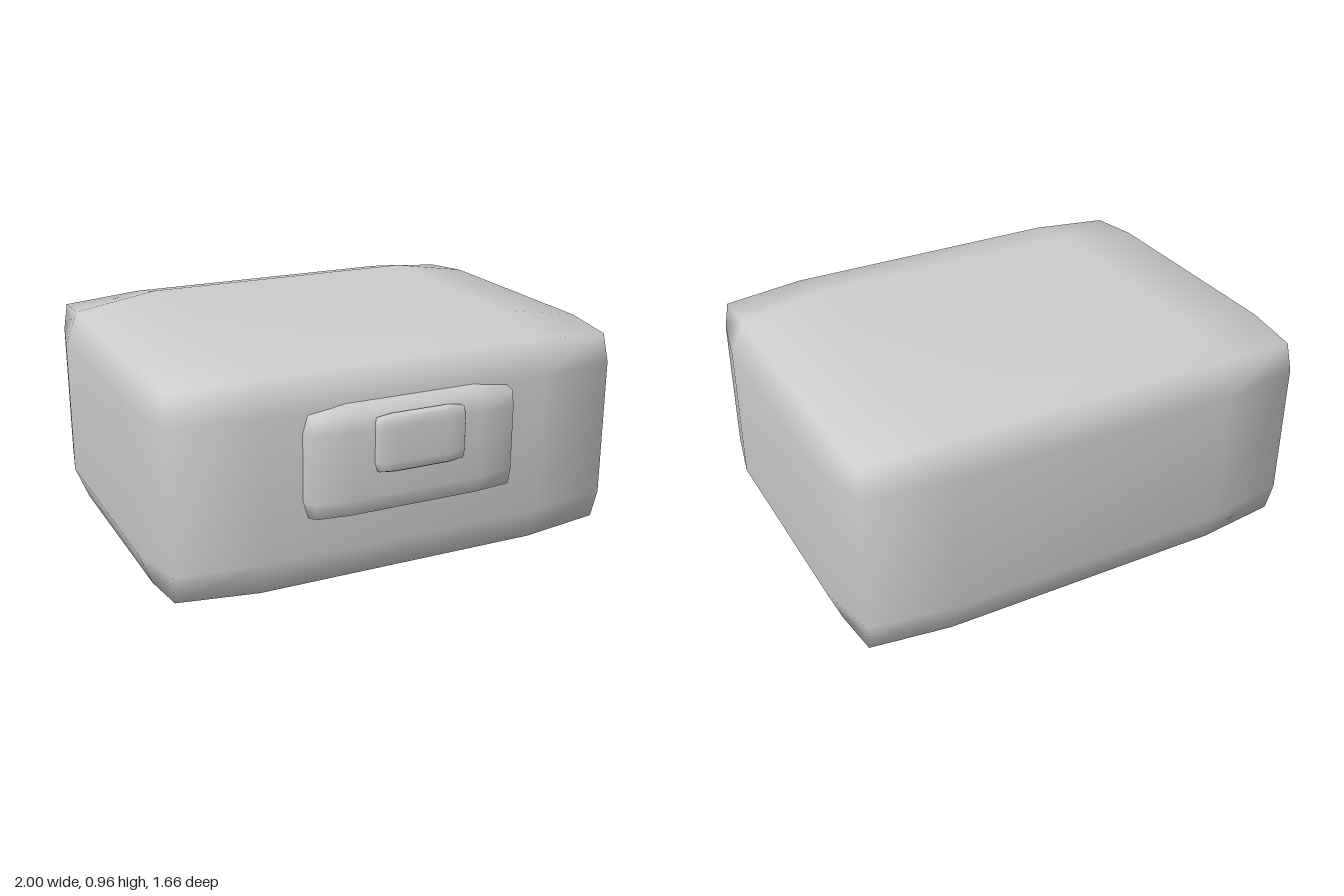
import * as THREE from 'three';
import { mergeVertices } from 'three/addons/utils/BufferGeometryUtils.js';

// Soft box: a 3x3x3 grid whose edges and corners are pulled in from the full size.
// Each axis is { at: [min, innerMin, innerMax, max], edge, corner } (edge and corner are insets).
function softBox(axes) {
  const geometry = new THREE.BoxGeometry(1, 1, 1, 3, 3, 3);
  const p = geometry.attributes.position;
  for (let i = 0; i < p.count; i++) {
    const cell = [p.getX(i), p.getY(i), p.getZ(i)].map((v) => Math.round((v + 0.5) * 3));
    const outer = cell.filter((c) => c === 0 || c === 3).length;
    const v = cell.map((c, a) => {
      const { at, edge, corner } = axes[a];
      const inset = outer === 3 ? corner : outer === 2 ? edge : 0;
      return at[c] + (c === 0 ? inset : c === 3 ? -inset : 0);
    });
    p.setXYZ(i, ...v);
  }
  geometry.deleteAttribute('uv');
  geometry.deleteAttribute('normal');
  const smooth = mergeVertices(geometry);
  smooth.clearGroups();
  smooth.computeVertexNormals();
  return smooth;
}

export function createModel() {
  const group = new THREE.Group();
  const grey = new THREE.MeshStandardMaterial({ color: 0xcccccc });
  grey.name = 'grey';

  const parts = {
    // main case
    body: [
      { at: [-1, -0.6, 0.6, 1], edge: 0.055, corner: 0.068 },
      { at: [0, 0.195, 0.77, 0.963], edge: 0.056, corner: 0.077 },
      { at: [-0.83, -0.525, 0.41, 0.717], edge: 0.053, corner: 0.075 },
    ],
    // raised plate on the front
    frontPanel: [
      { at: [-0.445, -0.27, 0.27, 0.445], edge: 0.02, corner: 0.026 },
      { at: [0.336, 0.425, 0.692, 0.781], edge: 0.021, corner: 0.028 },
      { at: [0.6, 0.665, 0.722, 0.793], edge: 0.022, corner: 0.027 },
    ],
    // small latch on the plate
    latch: [
      { at: [-0.187, -0.115, 0.115, 0.187], edge: 0.008, corner: 0.012 },
      { at: [0.522, 0.566, 0.7, 0.745], edge: 0.008, corner: 0.012 },
      { at: [0.766, 0.785, 0.811, 0.83], edge: 0.007, corner: 0.01 },
    ],
  };

  for (const [name, axes] of Object.entries(parts)) {
    const mesh = new THREE.Mesh(softBox(axes), grey);
    mesh.name = name;
    group.add(mesh);
  }
  return group;
}
